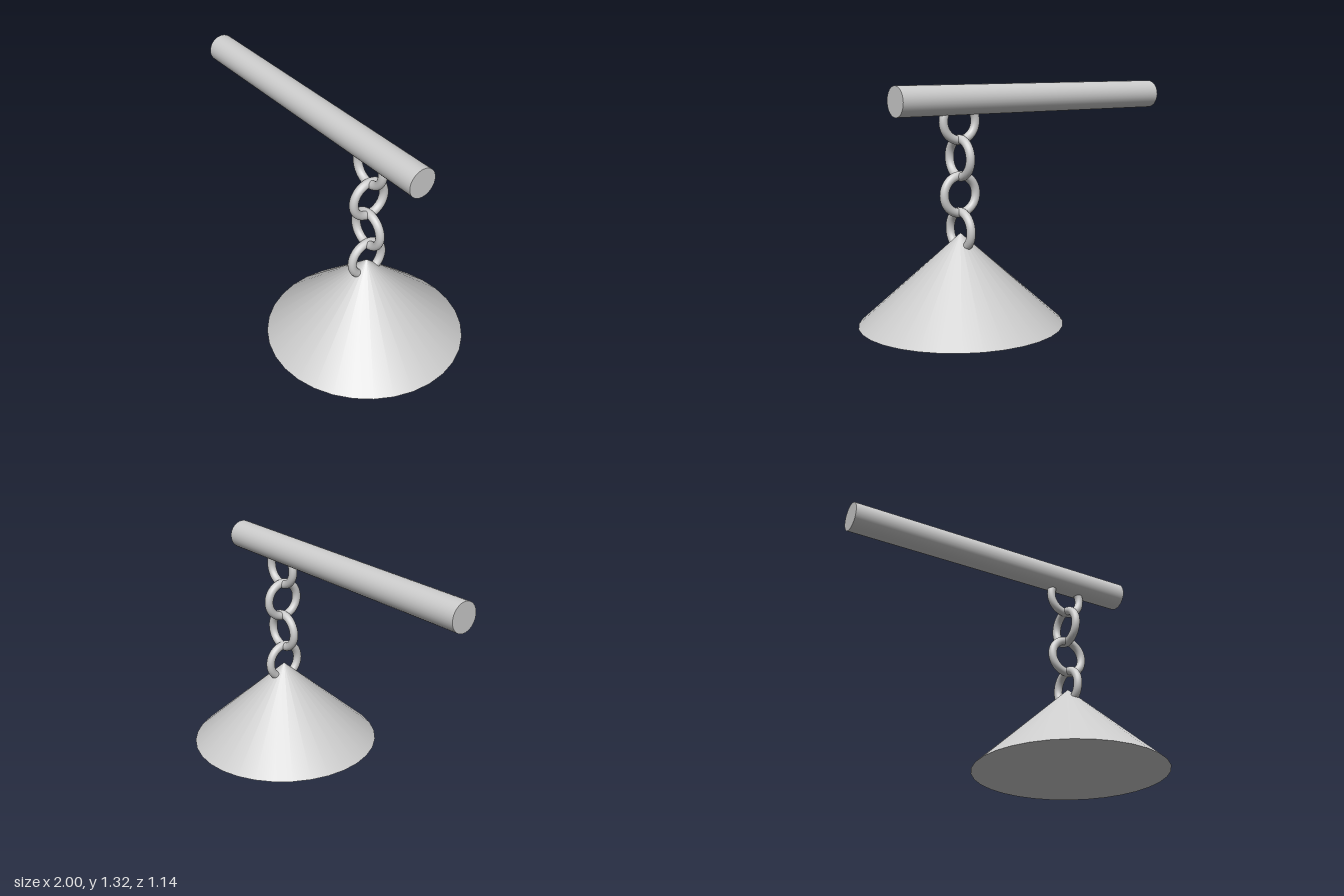
import * as THREE from 'three';

export function createModel() {
  const model = new THREE.Group();
  const material = new THREE.MeshStandardMaterial({ color: 0xcccccc });
  const hangX = 0.43;

  function add(name, geometry, x, y) {
    const mesh = new THREE.Mesh(geometry, material);
    mesh.name = name;
    mesh.position.set(x, y, 0);
    model.add(mesh);
    return mesh;
  }

  // Horizontal bar the chain hangs from
  const barLength = 1.826;
  const bar = add('bar', new THREE.CylinderGeometry(0.083, 0.083, barLength, 32), -1 + barLength / 2, 1.237);
  bar.rotation.z = Math.PI / 2;

  // Chain of four round links, each turned a quarter from its neighbour
  const chain = new THREE.Group();
  chain.name = 'chain';
  model.add(chain);
  const linkGeometry = new THREE.TorusGeometry(0.103, 0.025, 16, 48);
  for (let i = 0; i < 4; i++) {
    const link = add('chainLink' + (i + 1), linkGeometry, hangX, 1.121 - i * 0.2);
    link.rotation.y = (i % 2) * Math.PI / 2;
    chain.add(link);
  }

  // Conical shade with a closed base
  add('coneShade', new THREE.ConeGeometry(0.568, 0.508, 32), hangX, 0.254);

  return model;
}
